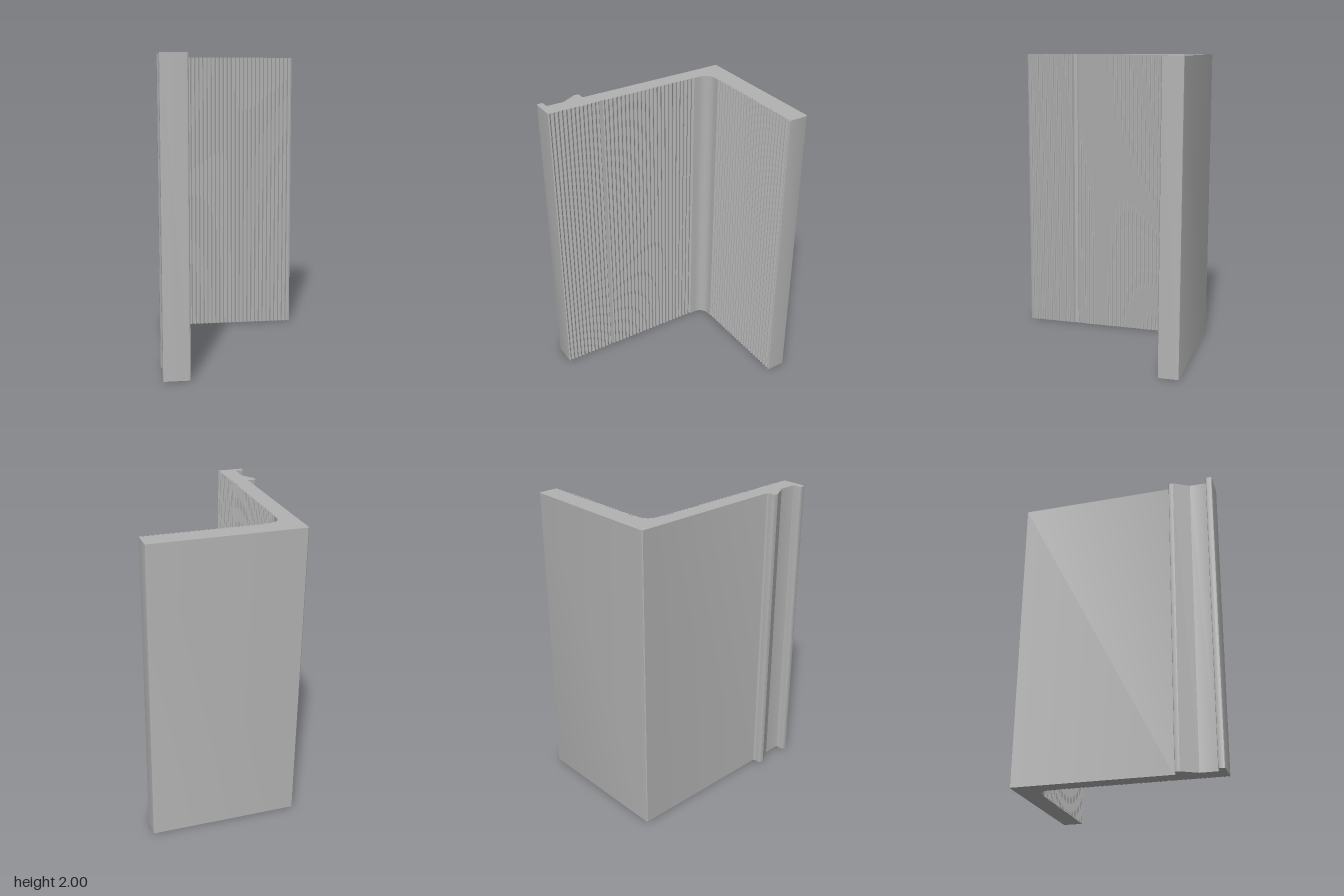
import * as THREE from 'three';
import { toCreasedNormals } from 'three/addons/utils/BufferGeometryUtils.js';

const HEIGHT = 2;
const PITCH = 0.0295;
const DEPTH = 0.01;

// One row of grip teeth: calls add(distance, depth) along the row
function teeth(start, end, add) {
  const count = Math.round((end - start) / PITCH);
  const step = (end - start) / count;
  for (let i = 0; i < count; i++) {
    const s = start + i * step;
    add(s + step * 0.07, 0);
    add(s + step * 0.43, DEPTH);
    add(s + step * 0.57, DEPTH);
    add(s + step * 0.93, 0);
  }
}

export function createModel() {
  const model = new THREE.Group();
  const grey = new THREE.MeshStandardMaterial({ color: 0xb2b2b2 });
  grey.name = 'plain grey';

  // Outer side of the L section, as [x, z], with the two hooks on the side leg
  const points = [
    [0.507, -0.665], [-0.455, -0.665], [-0.46, -0.66],
    [-0.46, 0.355], [-0.463, 0.365], [-0.472, 0.37],
    [-0.508, 0.37], [-0.515, 0.373], [-0.518, 0.381], [-0.518, 0.402],
    [-0.46, 0.505], [-0.46, 0.61], [-0.463, 0.619], [-0.47, 0.622],
    [-0.508, 0.622], [-0.515, 0.625], [-0.518, 0.632],
    [-0.518, 0.655], [-0.515, 0.662], [-0.508, 0.665], [-0.35, 0.665],
  ];

  // Teeth inside the side leg, from the free end inwards, with one plain strip
  const sideTooth = (s, d) => points.push([-0.343 - d, -s]);
  teeth(-0.66, -0.315, sideTooth);
  points.push([-0.353, 0.31], [-0.353, 0.285]);
  teeth(-0.28, 0.41, sideTooth);

  // Rounded inner corner
  const r = 0.075;
  for (let i = 0; i <= 12; i++) {
    const a = (i / 12) * Math.PI / 2;
    points.push([-0.343 + r * (1 - Math.cos(a)), -0.45 - r * Math.sin(a)]);
  }

  // Teeth inside the back leg, ending in a rounded edge
  teeth(-0.237, 0.51, (s, d) => points.push([s, -0.525 - d]));
  points.push([0.518, -0.53], [0.518, -0.655], [0.515, -0.662]);

  // Section drawn flat, raised and stood upright
  const section = new THREE.Shape(points.map(([x, z]) => new THREE.Vector2(x, -z)));
  const geometry = new THREE.ExtrudeGeometry(section, { depth: HEIGHT, bevelEnabled: false });
  geometry.rotateX(-Math.PI / 2);

  const profile = new THREE.Mesh(toCreasedNormals(geometry, 0.5), grey);
  profile.name = 'ribbedAngleProfile';
  model.add(profile);
  return model;
}
